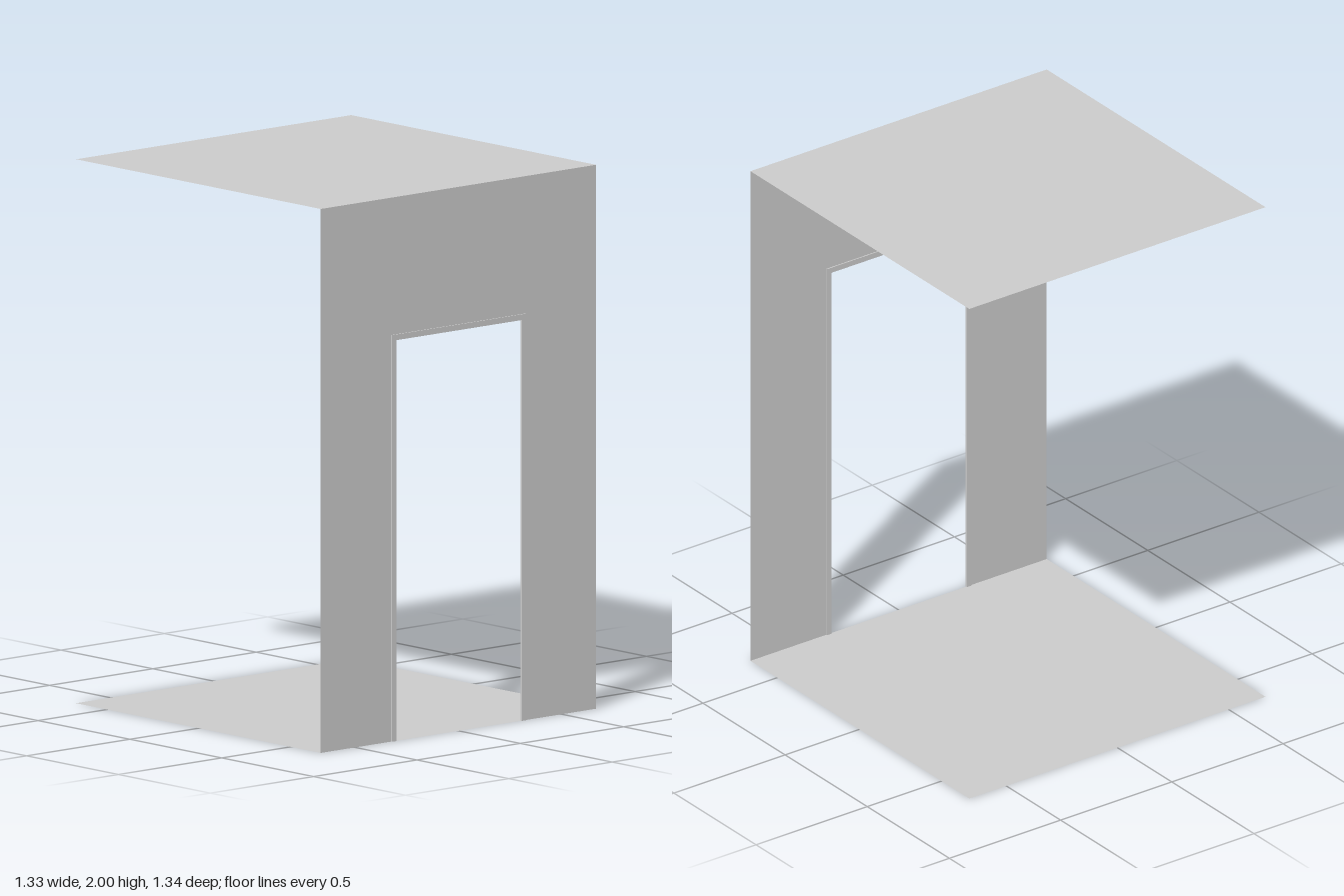
import * as THREE from 'three';

export function createModel() {
  const group = new THREE.Group();
  const material = new THREE.MeshStandardMaterial({ color: 0xcccccc, side: THREE.DoubleSide });
  const half = 0.666, height = 2, wallZ = 0.663, frameDepth = 0.009;
  const add = (name, geometry, x, y, z) => {
    const mesh = new THREE.Mesh(geometry, material);
    mesh.name = name;
    mesh.position.set(x, y, z);
    group.add(mesh);
  };

  // Arch-like outline: outer rectangle with a doorway cut up from the floor
  const portal = (outerX, outerY, innerX, innerY) => new THREE.Shape([
    [-outerX, 0], [-innerX, 0], [-innerX, innerY], [innerX, innerY],
    [innerX, 0], [outerX, 0], [outerX, outerY], [-outerX, outerY],
  ].map(([x, y]) => new THREE.Vector2(x, y)));

  // Thin floor and ceiling sheets
  for (const [name, y] of [['floor', 0], ['ceiling', height]]) {
    const sheet = new THREE.PlaneGeometry(half * 2, half * 2).rotateX(-Math.PI / 2);
    add(name, sheet, 0, y, wallZ - half);
  }

  // Thin front wall with doorway
  add('frontWall', new THREE.ShapeGeometry(portal(half, height, 0.32, 1.49)), 0, 0, wallZ);

  // Door frame lining the opening, slightly proud of the wall on both faces
  const frame = new THREE.ExtrudeGeometry(portal(0.325, 1.495, 0.304, 1.474), {
    depth: frameDepth, bevelEnabled: false,
  });
  add('doorFrame', frame, 0, 0, wallZ - frameDepth / 2);

  return group;
}
